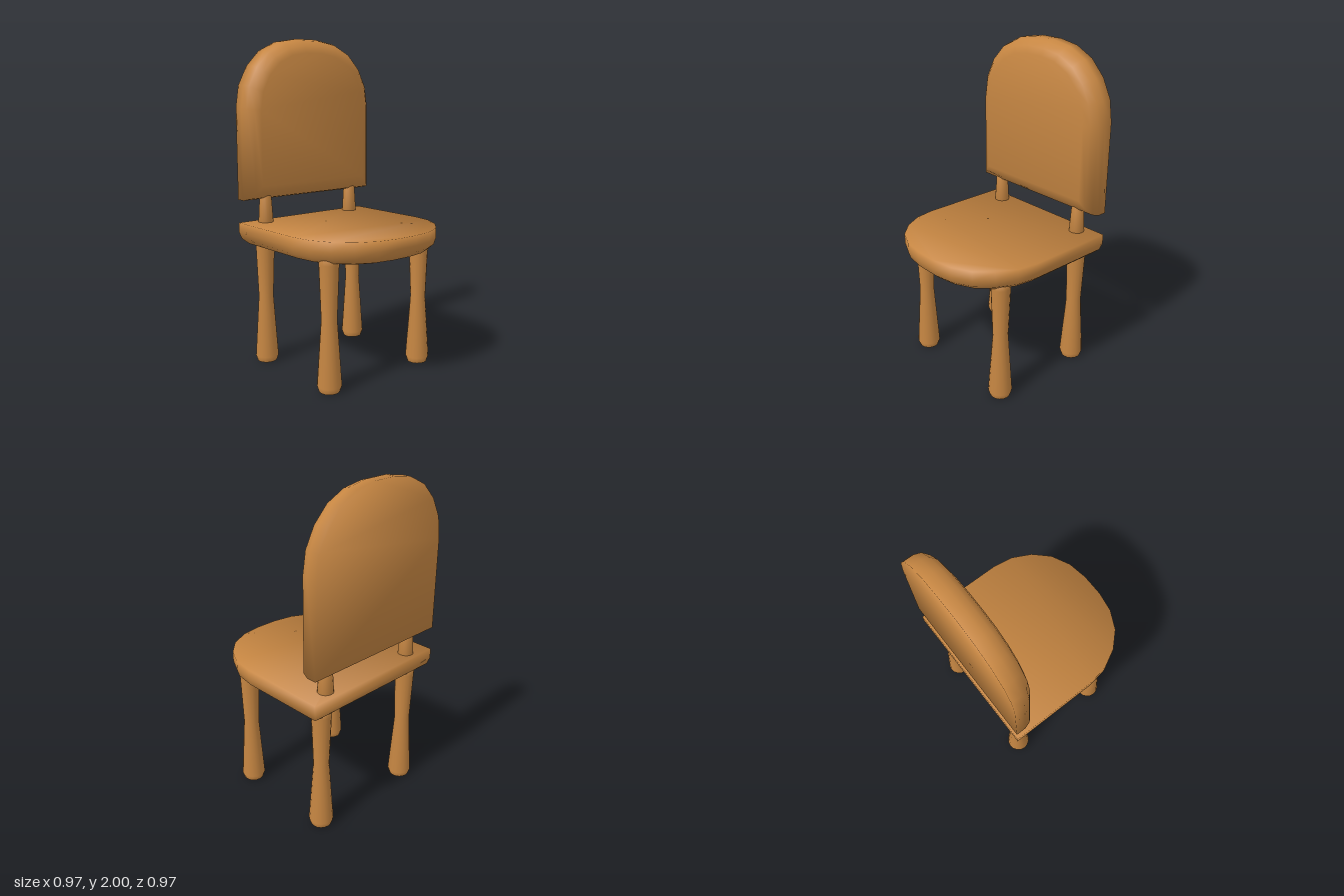
import * as THREE from 'three';

// Half of the arched outline, in (along, across); mirrored to close the loop
const HALF = [[-0.486, 0.486], [0.07, 0.486], [0.2, 0.466], [0.315, 0.407],
  [0.407, 0.318], [0.465, 0.2], [0.486, 0.072]];
const OUTLINE = [...HALF, ...HALF.map(([a, b]) => [a, -b]).reverse()];

// Edge profile: inset, depth below the flat face, tilt of the normal in degrees
const EDGE = [[0, 0, 45], [0, 0.06, -8], [0.012, 0.1, -28], [0.045, 0.13, -50], [0.088, 0.143, -75]];

// Slab lying flat with its sharp-edged face at y = 0 and rounded edge below
function cushionGeometry() {
  const n = OUTLINE.length, pos = [], nor = [], idx = [];
  const edgeNormal = (p, q) => {
    const dx = q[0] - p[0], dz = q[1] - p[1], l = Math.hypot(dx, dz);
    return [dz / l, -dx / l];
  };
  for (const [inset, depth, tilt] of EDGE) {
    const s = 1 - inset / 0.486, t = THREE.MathUtils.degToRad(tilt);
    OUTLINE.forEach((p, i) => {
      const e1 = edgeNormal(OUTLINE[(i + n - 1) % n], p);
      const e2 = edgeNormal(p, OUTLINE[(i + 1) % n]);
      const out = new THREE.Vector2(-e1[0] - e2[0], -e1[1] - e2[1]).normalize();
      pos.push(p[0] * s, -depth, p[1] * s);
      nor.push(out.x * Math.cos(t), Math.sin(t), out.y * Math.cos(t));
    });
  }
  for (let r = 0; r < EDGE.length - 1; r++) {
    for (let i = 0; i < n; i++) {
      const a = r * n + i, b = r * n + (i + 1) % n;
      idx.push(a, a + n, b, b, a + n, b + n);
    }
  }
  // Flat caps, sharing the rim normals
  const contour = OUTLINE.map(([a, b]) => new THREE.Vector2(a, b));
  const last = (EDGE.length - 1) * n;
  const cap = (tri, base, up) => {
    const [a, b, c] = tri;
    const area = (contour[b].x - contour[a].x) * (contour[c].y - contour[a].y)
      - (contour[b].y - contour[a].y) * (contour[c].x - contour[a].x);
    if ((area < 0) === up) idx.push(base + a, base + b, base + c);
    else idx.push(base + a, base + c, base + b);
  };
  for (const tri of THREE.ShapeUtils.triangulateShape(contour, [])) {
    cap(tri, 0, true);
    cap(tri, last, false);
  }
  const geo = new THREE.BufferGeometry();
  geo.setAttribute('position', new THREE.Float32BufferAttribute(pos, 3));
  geo.setAttribute('normal', new THREE.Float32BufferAttribute(nor, 3));
  // Make the walls face along their outward normals
  const v = (i) => new THREE.Vector3().fromArray(pos, i * 3);
  const m = (i) => new THREE.Vector3().fromArray(nor, i * 3);
  for (let k = 0; k < (EDGE.length - 1) * n * 6; k += 3) {
    const a = v(idx[k]);
    const face = v(idx[k + 1]).sub(a).cross(v(idx[k + 2]).sub(a));
    const want = m(idx[k]).add(m(idx[k + 1])).add(m(idx[k + 2]));
    if (face.dot(want) < 0) [idx[k + 1], idx[k + 2]] = [idx[k + 2], idx[k + 1]];
  }
  geo.setIndex(idx);
  return geo;
}

export function createModel() {
  const wood = new THREE.MeshStandardMaterial({ color: 0xc68642 });
  wood.name = 'wood';
  const chair = new THREE.Group();
  chair.name = 'chair';
  const add = (name, geo, x, y, z) => {
    const mesh = new THREE.Mesh(geo, wood);
    mesh.name = name;
    mesh.position.set(x, y, z);
    chair.add(mesh);
    return mesh;
  };

  // Seat and backrest share one cushion shape
  const cushion = cushionGeometry();
  add('seat', cushion, 0, 0.885, 0);
  add('backrest', cushion, -0.486, 1.514, 0).rotation.z = Math.PI / 2;

  // Waisted legs and the posts that carry the backrest
  const lathe = (pts) => new THREE.LatheGeometry(pts.map(([r, y]) => new THREE.Vector2(r, y)), 16);
  const leg = lathe([[0, 0], [0.06, 0], [0.06, 0], [0.072, 0.035], [0.046, 0.42], [0.058, 0.74], [0.058, 0.8], [0, 0.8]]);
  const post = lathe([[0, 0], [0.048, 0], [0.036, 0.2], [0, 0.2]]);
  for (const side of [1, -1]) {
    const s = side > 0 ? 'Left' : 'Right';
    add('frontLeg' + s, leg, 0.23, 0, side * 0.355);
    add('backLeg' + s, leg, -0.398, 0, side * 0.355);
    add('backPost' + s, post, -0.411, 0.86, side * 0.337);
  }
  return chair;
}
